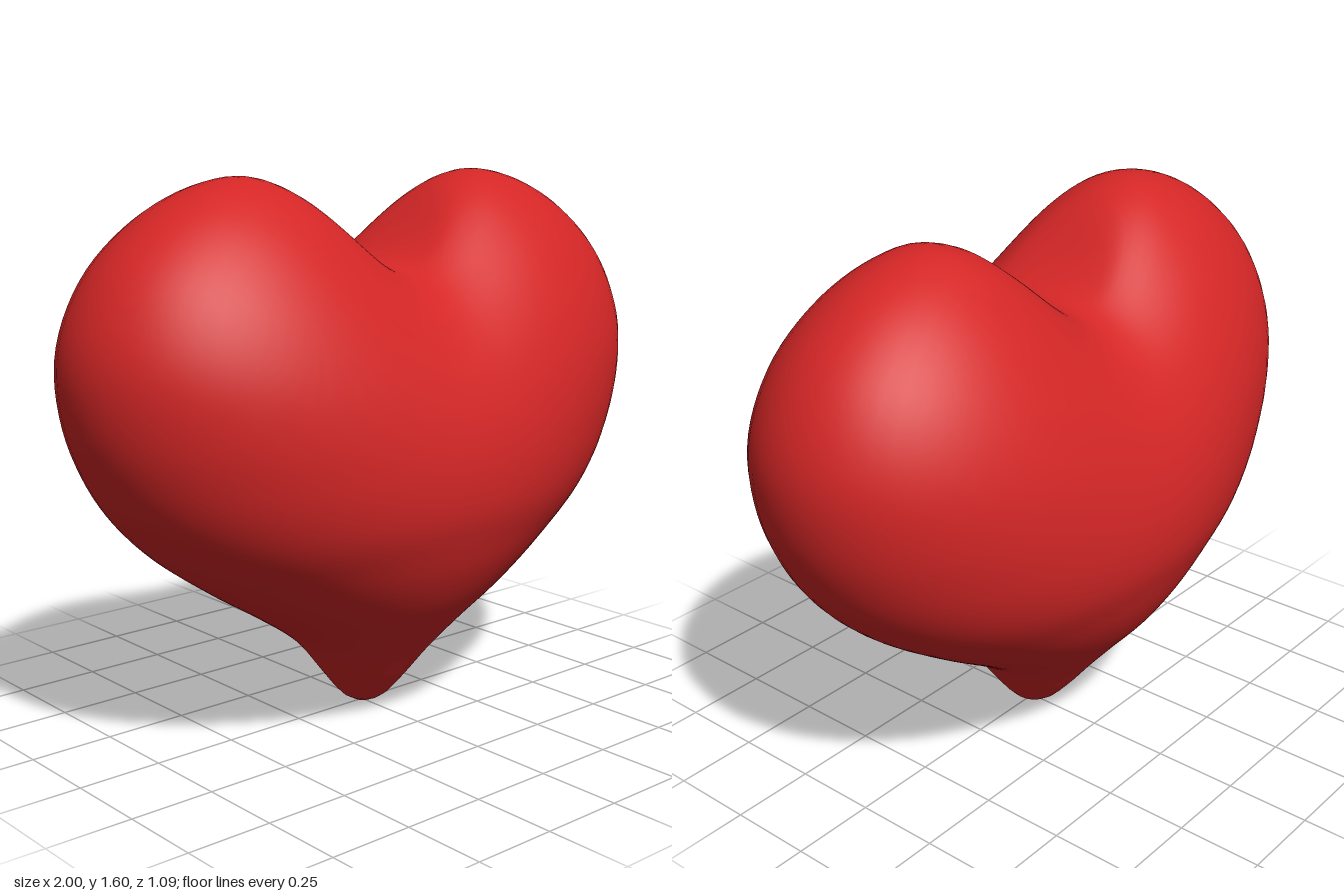
import * as THREE from 'three';
import { mergeVertices } from 'three/addons/utils/BufferGeometryUtils.js';

const CENTRE_Y = 0.85;

// Half outlines as [distance from axis, height], from the top dip to the tip
const FRONT = [
  [0, 1.35], [0.06, 1.36], [0.13, 1.4], [0.2, 1.46], [0.3, 1.55], [0.38, 1.586], [0.46, 1.6],
  [0.6, 1.575], [0.75, 1.505], [0.89, 1.385], [0.97, 1.25], [1, 1.12], [0.98, 0.95], [0.92, 0.8],
  [0.84, 0.68], [0.73, 0.57], [0.55, 0.44], [0.4, 0.345], [0.26, 0.25], [0.19, 0.19], [0.11, 0.085],
  [0.06, 0.024], [0, 0],
];
const SIDE = [
  [0, 1.35], [0.12, 1.34], [0.25, 1.3], [0.36, 1.225], [0.45, 1.11], [0.51, 0.98], [0.54, 0.84],
  [0.535, 0.7], [0.5, 0.59], [0.46, 0.5], [0.4, 0.405], [0.31, 0.3], [0.225, 0.2], [0.14, 0.095],
  [0.07, 0.025], [0, 0],
];

// Turns an outline into a function: angle from straight up -> radius
function polarProfile(points) {
  const mirror = ([x, y]) => new THREE.Vector3(-x, y, 0);
  const n = points.length;
  const curve = new THREE.CatmullRomCurve3([
    mirror(points[1]),
    ...points.map(([x, y]) => new THREE.Vector3(x, y, 0)),
    mirror(points[n - 2]),
  ]);
  const table = [];
  const steps = 800;
  for (let i = 0; i <= steps; i++) {
    const p = curve.getPoint((1 + (i / steps) * (n - 1)) / (n + 1));
    table.push([Math.atan2(Math.max(p.x, 0), p.y - CENTRE_Y), Math.hypot(p.x, p.y - CENTRE_Y)]);
  }
  return (angle) => {
    let i = 1;
    while (i < steps && table[i][0] < angle) i++;
    const [a0, r0] = table[i - 1];
    const [a1, r1] = table[i];
    const t = a1 > a0 ? THREE.MathUtils.clamp((angle - a0) / (a1 - a0), 0, 1) : 0;
    return r0 + (r1 - r0) * t;
  };
}

// Sphere reshaped so its radius blends from the front outline to the side outline
function heartGeometry() {
  const frontRadius = polarProfile(FRONT);
  const sideRadius = polarProfile(SIDE);
  const geometry = new THREE.SphereGeometry(1, 112, 88);
  geometry.deleteAttribute('normal');
  geometry.deleteAttribute('uv');
  const pos = geometry.attributes.position;
  const v = new THREE.Vector3();
  for (let i = 0; i < pos.count; i++) {
    v.fromBufferAttribute(pos, i).normalize();
    const theta = Math.acos(THREE.MathUtils.clamp(v.y, -1, 1));
    const flat = v.x * v.x + v.z * v.z;
    const w = flat > 1e-10 ? (v.x * v.x) / flat : 0.5;
    // Fuller cross-sections in the upper lobes
    const p = -1.4 + 0.9 * Math.max(0, v.y);
    const r = (w * frontRadius(theta) ** p + (1 - w) * sideRadius(theta) ** p) ** (1 / p);
    // Slight skew of the two lobes, one forward and one back
    pos.setXYZ(i, v.x * r, CENTRE_Y + v.y * r, v.z * r - 0.043 * v.x * r);
  }
  const smooth = mergeVertices(geometry, 1e-5);
  smooth.computeVertexNormals();
  return smooth;
}

export function createModel() {
  const group = new THREE.Group();
  group.name = 'heart';
  const red = new THREE.MeshStandardMaterial({ color: 0xd42626 });
  red.name = 'red';
  const body = new THREE.Mesh(heartGeometry(), red);
  body.name = 'heartBody';
  group.add(body);
  return group;
}
